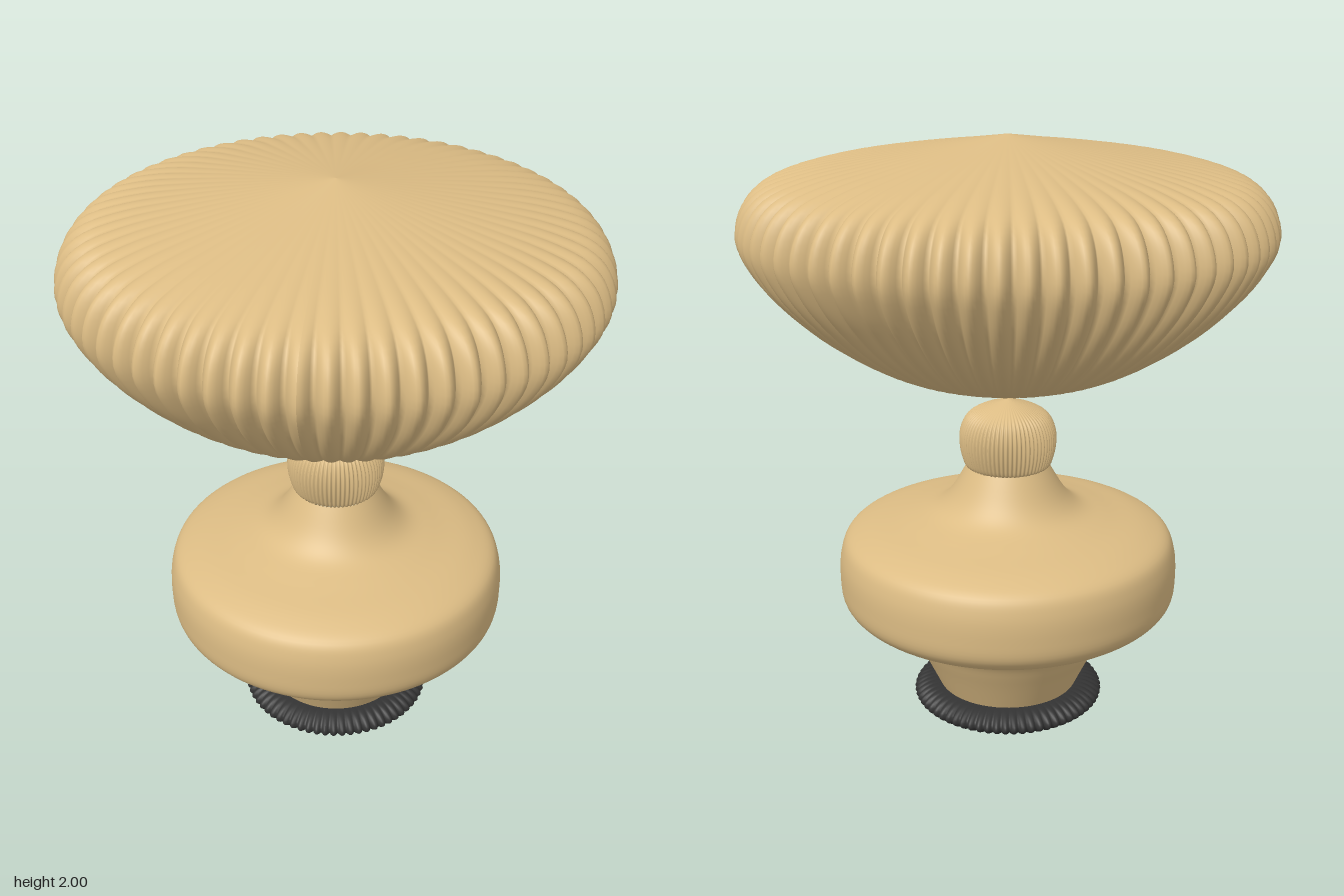
import * as THREE from 'three';

const tan = new THREE.MeshStandardMaterial({ color: 0xdcbc84 });
const dark = new THREE.MeshStandardMaterial({ color: 0x333333 });

// Smooth profile of revolution through [radius, height] points
function turn(points, steps, segments) {
  const curve = new THREE.CatmullRomCurve3(
    points.map(([r, y]) => new THREE.Vector3(r, y, 0)), false, 'centripetal');
  const profile = curve.getPoints(steps).map(p => new THREE.Vector2(Math.max(p.x, 0), p.y));
  return new THREE.LatheGeometry(profile, segments);
}

// Press rounded ribs with narrow valleys into a turned form
function flute(geometry, count, depth, maxRadius) {
  const pos = geometry.attributes.position;
  for (let i = 0; i < pos.count; i++) {
    const x = pos.getX(i), z = pos.getZ(i);
    const r = Math.hypot(x, z);
    if (r < 1e-6) continue;
    const valley = 1 - Math.abs(Math.cos(Math.atan2(x, z) * count / 2));
    const k = 1 - depth * valley * (r / maxRadius) ** 1.5;
    pos.setX(i, x * k);
    pos.setZ(i, z * k);
  }
  geometry.computeVertexNormals();
  return geometry;
}

function part(name, geometry, material) {
  const mesh = new THREE.Mesh(geometry, material);
  mesh.name = name;
  return mesh;
}

export function createModel() {
  const group = new THREE.Group();
  group.name = 'flutedVessel';

  // Wide fluted crown floating above the knob
  const crown = turn([[0, 1.165], [0.18, 1.208], [0.4, 1.275], [0.6, 1.395], [0.73, 1.51],
    [0.81, 1.61], [0.848, 1.7], [0.826, 1.79], [0.77, 1.85], [0.66, 1.89],
    [0.46, 1.928], [0.22, 1.965], [0, 2]], 44, 66 * 8);
  group.add(part('crown', flute(crown, 66, 0.055, 0.848), tan));

  // Finely fluted knob
  const knob = turn([[0, 0.91], [0.135, 0.912], [0.152, 0.945], [0.161, 1], [0.156, 1.045],
    [0.135, 1.085], [0.09, 1.113], [0, 1.143]], 24, 66 * 6);
  group.add(part('knob', flute(knob, 66, 0.06, 0.161), tan));

  // Smooth bulbous body with tapered neck and foot
  const body = turn([[0.23, 0.11], [0.3, 0.255], [0.345, 0.335], [0.42, 0.385], [0.51, 0.417],
    [0.558, 0.463], [0.568, 0.54], [0.562, 0.62], [0.54, 0.672], [0.47, 0.708],
    [0.34, 0.74], [0.25, 0.768], [0.2, 0.81], [0.135, 0.915]], 70, 96);
  group.add(part('body', body, tan));

  // Short foot under the ring
  const foot = turn([[0, 0.005], [0.13, 0.005], [0.152, 0.012], [0.172, 0.04], [0.2, 0.08],
    [0.23, 0.115]], 24, 96);
  group.add(part('foot', foot, tan));

  // Flat fluted base ring
  const ring = turn([[0.15, 0.04], [0.235, 0.043], [0.29, 0.056], [0.32, 0.074], [0.325, 0.084],
    [0.32, 0.097], [0.295, 0.115], [0.26, 0.125], [0.18, 0.125]], 24, 66 * 6);
  group.add(part('baseRing', flute(ring, 66, 0.05, 0.325), dark));

  return group;
}
